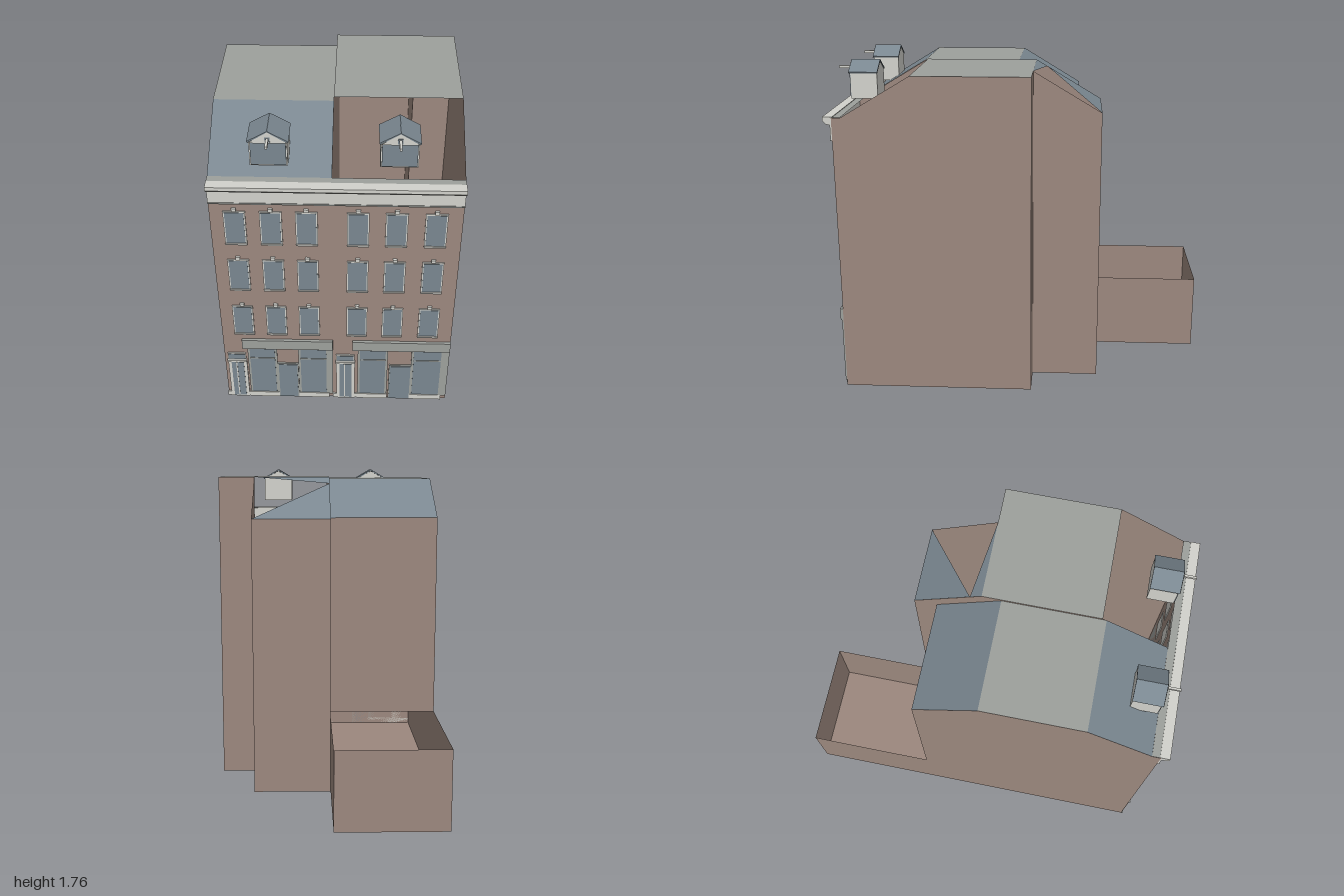
import * as THREE from 'three';

const mat = (name, color) => {
  const m = new THREE.MeshStandardMaterial({ color, side: THREE.DoubleSide });
  m.name = name;
  return m;
};

export function createModel() {
  const group = new THREE.Group();
  const brick = mat('brick', 0x9c887e);
  const slate = mat('slate', 0x7a8790);
  const stone = mat('grey stone', 0x9da09c);
  const trim = mat('pale trim', 0xd2d2cc);

  const add = (name, geo, m, parent = group) => {
    const mesh = new THREE.Mesh(geo, m);
    mesh.name = name;
    parent.add(mesh);
    return mesh;
  };
  // Box given by its limits
  const box = (name, m, x0, x1, y0, y1, z0, z1, parent = group) => {
    const g = new THREE.BoxGeometry(x1 - x0, y1 - y0, z1 - z0);
    g.translate((x0 + x1) / 2, (y0 + y1) / 2, (z0 + z1) / 2);
    return add(name, g, m, parent);
  };
  // Flat convex face given by its corners
  const face = (name, m, ...pts) => {
    const v = [];
    for (let i = 1; i < pts.length - 1; i++) v.push(...pts[0], ...pts[i], ...pts[i + 1]);
    const g = new THREE.BufferGeometry();
    g.setAttribute('position', new THREE.Float32BufferAttribute(v, 3));
    g.computeVertexNormals();
    return add(name, g, m);
  };
  const shape = (pts) => new THREE.Shape(pts.map((p) => new THREE.Vector2(...p)));
  // Wall across x, outlined by [z, y] points
  const sideWall = (name, x, pts) => {
    const g = new THREE.ShapeGeometry(shape(pts));
    g.rotateY(-Math.PI / 2).translate(x, 0, 0);
    return add(name, g, brick);
  };
  // Wall facing along z
  const crossWall = (name, x0, x1, y0, y1, z) =>
    face(name, brick, [x0, y0, z], [x1, y0, z], [x1, y1, z], [x0, y1, z]);

  const F = 0.955, L = -0.6, P = -0.02, N = 0.4, R = 0.6;

  // Walls
  sideWall('rightGableWall', L, [[F, 0], [F, 1.5], [0.91, 1.5], [0.57, 1.705], [0.04, 1.705],
    [-0.3, 1.5], [-0.3, 0.42], [-1, 0.42], [-1, 0]]);
  sideWall('leftGableWall', R, [[F, 0], [F, 1.5], [0.91, 1.5], [0.55, 1.715], [-0.06, 1.715], [-0.06, 0]]);
  sideWall('partyWall', P, [[F, 0.32], [F, 1.5], [0.91, 1.5], [0.55, 1.715], [-0.06, 1.715],
    [-0.42, 1.5], [-0.42, 0.42], [-1, 0.42], [-1, 0], [-0.12, 0], [-0.12, 0.07]]);
  sideWall('rearReturnWall', N, [[-0.06, 0], [-0.06, 1.715], [-0.42, 1.5], [-0.42, 0]]);
  crossWall('frontWall', L, R, 0, 1.5, F);
  crossWall('rightHouseBackWall', L, P, 0.42, 1.5, -0.3);
  crossWall('yardWall', L, P, 0, 0.42, -1);
  crossWall('leftHouseBackWall', P, N, 0, 1.5, -0.42);
  crossWall('recessedBackWall', N, R, 0, 1.715, -0.06);

  // Floor following the outline of both houses
  const floor = new THREE.ShapeGeometry(shape([[L, -F], [R, -F], [R, 0.06], [N, 0.06], [N, 0.42],
    [P, 0.42], [P, 1], [L, 1]]));
  add('floor', floor.rotateX(-Math.PI / 2), brick);

  // Roofs; the left house has an open front slope and a partly open back slope
  const roof = (name, m, x0, x1, y0, z0, y1, z1) =>
    face(name, m, [x0, y0, z0], [x1, y0, z0], [x1, y1, z1], [x0, y1, z1]);
  roof('frontSlope', slate, L, P, 1.5, 0.91, 1.705, 0.57);
  roof('rightFlatRoof', stone, L, P, 1.705, 0.57, 1.705, 0.04);
  roof('rightBackSlope', slate, L, P, 1.705, 0.04, 1.5, -0.3);
  roof('leftFlatRoof', stone, P, R, 1.715, 0.55, 1.715, -0.06);
  roof('eavesStrip', stone, L, R, 1.502, 0.96, 1.502, 0.91);
  const apex = [P, 1.68, -0.12];
  face('leftBackSlope', slate, apex, [N, 1.5, -0.42], [P, 1.5, -0.42]);
  face('leftBackSlopeTop', slate, apex, [P, 1.715, -0.06], [N, 1.715, -0.06]);

  // Cornice with a sloping underside
  const cornice = new THREE.ExtrudeGeometry(shape([[-0.95, 1.385], [-0.963, 1.385], [-0.963, 1.463],
    [-0.985, 1.468], [-1, 1.485], [-1, 1.505], [-0.95, 1.505]]), { depth: R - L, bevelEnabled: false });
  cornice.rotateY(Math.PI / 2).translate(L, 0, 0);
  add('cornice', cornice, trim);
  box('corniceShadowMoulding', stone, L, R, 1.38, 1.388, F, 0.966);

  // Upper windows: frame, pane, sill and keystone
  for (const x of [-0.482, -0.31, -0.14, 0.105, 0.288, 0.475]) {
    for (const y of [0.5, 0.822, 1.13]) {
      const w = new THREE.Group();
      w.name = 'window';
      w.position.set(x, y, 0);
      group.add(w);
      box('windowFrame', trim, -0.053, 0.053, 0, 0.203, F - 0.005, 0.961, w);
      box('windowPane', slate, -0.046, 0.046, 0.007, 0.196, F, 0.963, w);
      box('windowSill', trim, -0.053, 0.053, -0.003, 0.005, F, 0.968, w);
      box('keystone', trim, -0.011, 0.011, 0.204, 0.222, F, 0.966, w);
    }
  }

  // Shopfronts: one per house
  const shopfront = (name, f0, f1, w1, d, w2, e) => {
    const s = new THREE.Group();
    s.name = name;
    group.add(s);
    box('fascia', stone, f0, f1, 0.39, 0.455, F, 0.97, s);
    for (const [a, b] of [w1, w2]) {
      box('shopWindowFrame', stone, a - 0.012, b + 0.012, 0.03, 0.392, F, 0.961, s);
      box('shopWindowPane', slate, a, b, 0.04, 0.383, F, 0.964, s);
      box('transomBar', stone, a, b, 0.312, 0.318, F, 0.967, s);
      box('stallRiser', trim, a - 0.015, b + 0.015, 0, 0.035, F, 0.965, s);
    }
    box('pilaster', stone, w2[1], f1, 0.03, 0.39, F, 0.963, s);
    box('shopDoorFrame', stone, d[0] - 0.006, d[1] + 0.006, 0, 0.272, F, 0.964, s);
    box('shopDoor', slate, d[0], d[1], 0.005, 0.266, F, 0.967, s);
    // House entrance with a fanlight
    box('entranceFrame', trim, e, e + 0.1, 0, 0.29, F, 0.965, s);
    box('entranceDoor', slate, e + 0.017, e + 0.083, 0.01, 0.28, F, 0.968, s);
    box('entrancePost', trim, e + 0.042, e + 0.048, 0.01, 0.28, F, 0.971, s);
    box('entranceLintel', trim, e - 0.003, e + 0.1, 0.287, 0.299, F, 0.972, s);
    box('fanlightFrame', trim, e, e + 0.097, 0.299, 0.346, F, 0.962, s);
    box('fanlight', slate, e + 0.005, e + 0.092, 0.304, 0.34, F, 0.965, s);
    box('plinth', trim, e - 0.02, e + 0.12, 0, 0.03, F, 0.962, s);
  };
  shopfront('rightShopfront', -0.5, P, [-0.463, -0.33], [-0.312, -0.212], [-0.193, -0.055], -0.583);
  shopfront('leftShopfront', 0.085, R, [0.125, 0.262], [0.288, 0.398], [0.412, 0.558], -0.002);

  // Dormers with a gabled roof and hoist beam
  for (const x of [-0.31, 0.29]) {
    const d = new THREE.Group();
    d.name = 'dormer';
    d.position.x = x;
    group.add(d);
    const body = new THREE.ExtrudeGeometry(shape([[-0.088, 1.56], [0.088, 1.56], [0.088, 1.695],
      [0, 1.745], [-0.088, 1.695]]), { depth: 0.14, bevelEnabled: false });
    add('dormerBody', body.translate(0, 0, 0.758), trim, d);
    box('dormerWindow', slate, -0.082, 0.082, 1.568, 1.69, 0.895, 0.903, d);
    for (const s of [-1, 1]) {
      const slope = new THREE.BoxGeometry(0.11, 0.008, 0.152);
      slope.rotateZ(-s * 0.53).translate(s * 0.046, 1.724, 0.831);
      add('dormerRoof', slope, slate, d);
    }
    const gable = new THREE.ShapeGeometry(shape([[-0.092, 1.692], [0.092, 1.692], [0, 1.752]]));
    add('dormerGable', gable.translate(0, 0, 0.909), trim, d);
    box('hoistBeam', trim, -0.006, 0.006, 1.707, 1.721, 0.9, 0.975, d);
    box('hoistHatch', slate, -0.012, 0.012, 1.7, 1.726, 0.905, 0.912, d);
  }
  return group;
}
